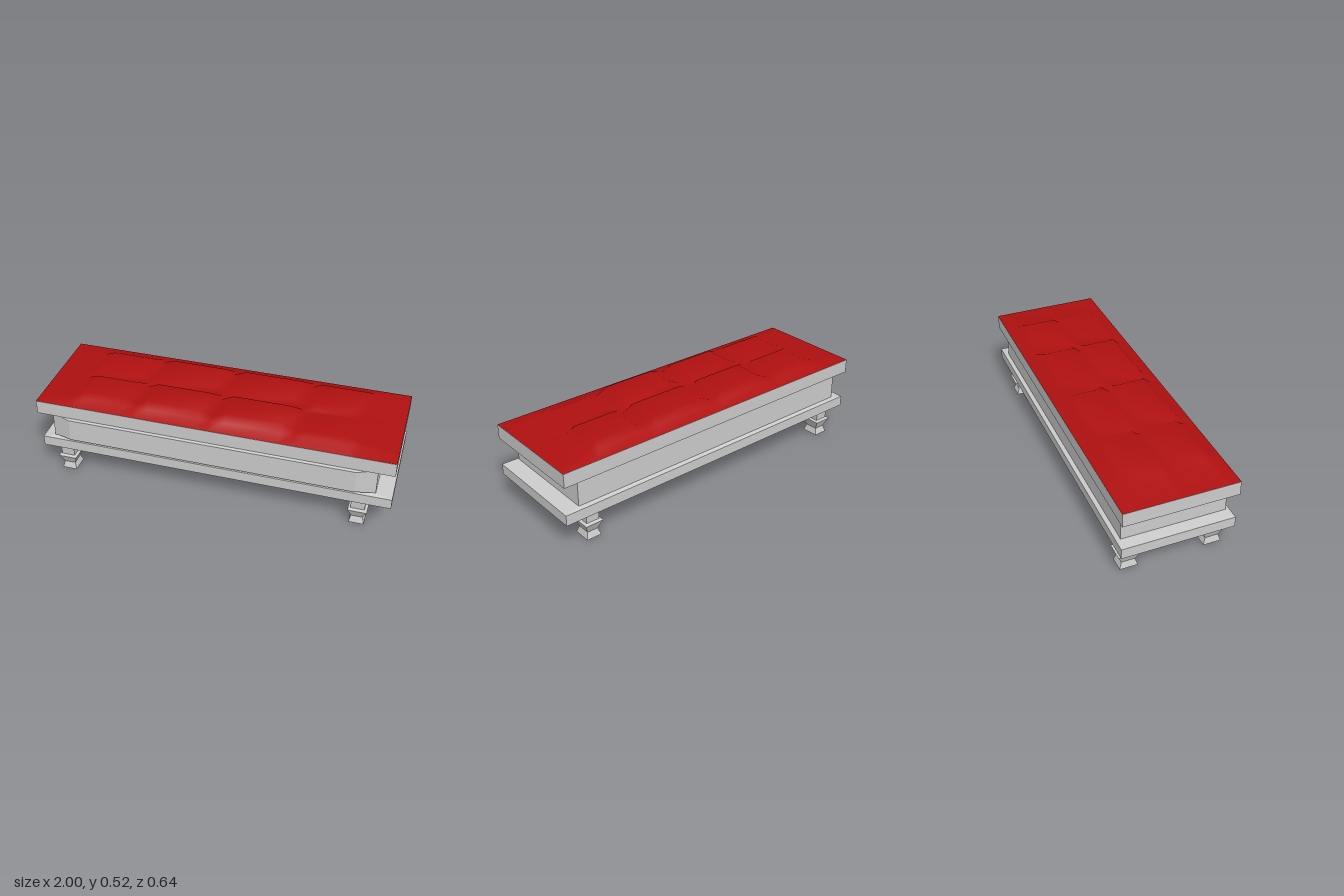
import * as THREE from 'three';

const grey = new THREE.MeshStandardMaterial({ color: 0xcccccc, flatShading: true });
const red = new THREE.MeshStandardMaterial({ color: 0xb01010 });

// Stack of rectangles [y, x0, x1, z0, z1] from bottom to top, capped at both ends
function stackedBlock(layers) {
  const pos = [];
  const index = [];
  for (const [y, x0, x1, z0, z1] of layers) {
    pos.push(x0, y, z1, x1, y, z1, x1, y, z0, x0, y, z0);
  }
  for (let l = 0; l < layers.length - 1; l++) {
    for (let k = 0; k < 4; k++) {
      const a = l * 4 + k;
      const b = l * 4 + (k + 1) % 4;
      index.push(a, b, b + 4, a, b + 4, a + 4);
    }
  }
  const t = (layers.length - 1) * 4;
  index.push(0, 2, 1, 0, 3, 2, t, t + 1, t + 2, t, t + 2, t + 3);
  const geo = new THREE.BufferGeometry();
  geo.setAttribute('position', new THREE.Float32BufferAttribute(pos, 3));
  geo.setIndex(index);
  const flat = geo.toNonIndexed();
  flat.computeVertexNormals();
  return flat;
}

// Cushion as a grid: rim, sewn valleys and raised flat tufts
function cushionGeometry() {
  const xs = [-1, -0.8, -0.735, -0.5, -0.44, -0.37, -0.075, -0.01,
    0.065, 0.375, 0.45, 0.505, 0.74, 0.8, 1];
  const zs = [-0.318, -0.255, -0.215, -0.037, 0.003, 0.04, 0.207, 0.245, 0.308];
  const tufts = [[0.512, 0.52, 0.521, 0.517], [0.512, 0.522, 0.525, 0.503]];
  const pos = [];
  const index = [];
  zs.forEach((z, j) => xs.forEach((x, i) => {
    let y = 0.488;
    if (i === 0 || j === 0 || i === xs.length - 1 || j === zs.length - 1) y = 0.467;
    else if (i % 3 !== 1 && j % 3 !== 1) {
      y = tufts[Math.floor((j - 2) / 3)][Math.floor((i - 2) / 3)];
    }
    pos.push(x, y, z);
  }));
  const n = xs.length;
  for (let j = 0; j < zs.length - 1; j++) {
    for (let i = 0; i < n - 1; i++) {
      const a = j * n + i;
      index.push(a, a + n, a + 1, a + 1, a + n, a + n + 1);
    }
  }
  const geo = new THREE.BufferGeometry();
  geo.setAttribute('position', new THREE.Float32BufferAttribute(pos, 3));
  geo.setIndex(index);
  geo.computeVertexNormals();
  return geo;
}

export function createModel() {
  const group = new THREE.Group();
  const add = (name, geo, mat = grey) => {
    const mesh = new THREE.Mesh(geo, mat);
    mesh.name = name;
    group.add(mesh);
    return mesh;
  };

  // Base slab, bevelled above and below
  add('baseSlab', stackedBlock([
    [0.148, -0.62, 0.62, -0.235, 0.235],
    [0.165, -0.985, 1, -0.315, 0.307],
    [0.225, -0.985, 1, -0.315, 0.307],
    [0.25, -0.72, 0.72, -0.235, 0.235],
  ]));

  // Box body and its raised front panel
  add('body', stackedBlock([
    [0.226, -0.92, 0.91, -0.292, 0.283],
    [0.386, -0.92, 0.91, -0.292, 0.283],
  ]));
  const panel = stackedBlock([
    [0.283, -0.92, 0.91, -0.386, -0.237],
    [0.32, -0.81, 0.8, -0.378, -0.245],
  ]);
  panel.rotateX(Math.PI / 2);
  add('frontPanel', panel);

  // Top slab under the cushion
  add('topSlab', stackedBlock([
    [0.372, -0.72, 0.72, -0.235, 0.235],
    [0.386, -1, 1, -0.318, 0.308],
    [0.466, -1, 1, -0.318, 0.308],
  ]));

  add('cushion', cushionGeometry(), red);

  // Square turned legs: half width at each height
  const profile = [[0, 0], [0.05, 0], [0.037, 0.038], [0.056, 0.08], [0.062, 0.092],
    [0.044, 0.098], [0.048, 0.165], [0, 0.165]];
  const legGeo = new THREE.LatheGeometry(
    profile.map(([w, y]) => new THREE.Vector2(w * Math.SQRT2, y)), 4);
  legGeo.rotateY(Math.PI / 4);
  legGeo.scale(0.85, 1, 1);
  for (const [side, x] of [['right', -0.857], ['left', 0.825]]) {
    for (const [end, z] of [['Front', 0.235], ['Back', -0.235]]) {
      add(side + end + 'Leg', legGeo).position.set(x, 0, z);
    }
  }
  return group;
}
